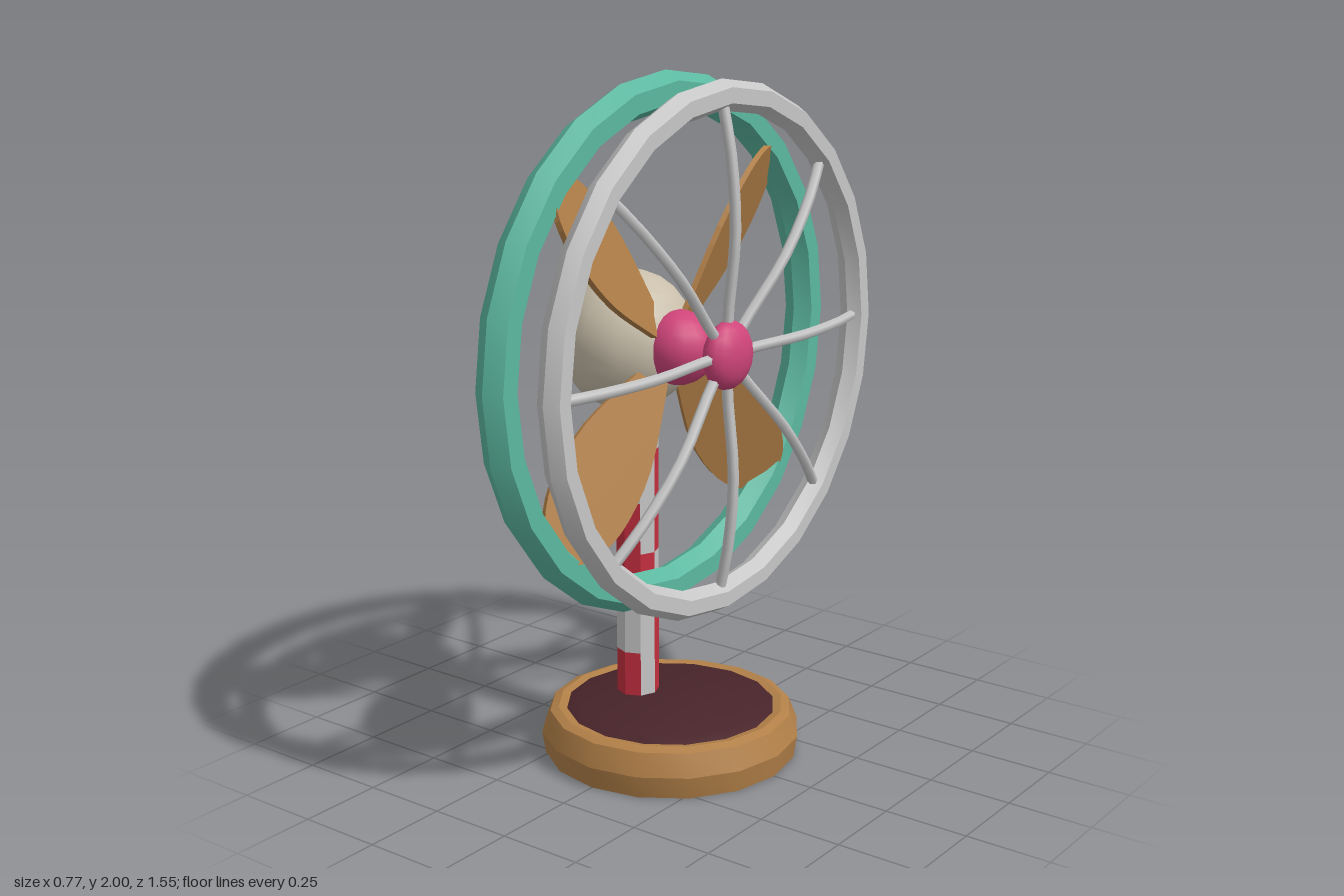
import * as THREE from 'three';
import { mergeGeometries, toCreasedNormals } from 'three/addons/utils/BufferGeometryUtils.js';

const mat = (name, color, side = THREE.FrontSide) => {
  const m = new THREE.MeshStandardMaterial({ color, side });
  m.name = name;
  return m;
};

export function createModel() {
  const teal = mat('teal', 0x5cb8a0);
  const grey = mat('light grey', 0xc6c6c6);
  const wood = mat('wood', 0xb28048);
  const dark = mat('dark maroon', 0x48242a);
  const pink = mat('pink', 0xd0457a);
  const red = mat('red', 0xc62f3f);
  const cream = mat('cream', 0xc9bfab);

  const model = new THREE.Group();
  model.name = 'deskFan';
  const add = (parent, name, geometry, material, x = 0, y = 0, z = 0) => {
    const mesh = new THREE.Mesh(geometry, material);
    mesh.name = name;
    mesh.position.set(x, y, z);
    parent.add(mesh);
    return mesh;
  };
  const lathe = (points, segments) => toCreasedNormals(
    new THREE.LatheGeometry(points.map(p => new THREE.Vector2(...p)), segments), 0.5);

  // Round base with a recessed dark top
  add(model, 'base', lathe([[0, 0], [0.375, 0], [0.385, 0.065], [0.36, 0.13], [0.335, 0.14], [0.31, 0.135]], 16), wood);
  add(model, 'baseTop', lathe([[0.312, 0.134], [0.28, 0.148], [0, 0.152]], 16), dark);

  // Eight-sided pole with stepped spiral stripes, repeating every three rows
  const pattern = ['RRRGRGGR', 'GGGGRRRG', 'GRRRGGGG'];
  const rowHeight = 0.155;
  const strips = { R: [], G: [] };
  for (let row = 0; row < 6; row++) {
    for (let face = 0; face < 8; face++) {
      const start = -Math.PI / 2 + face * Math.PI / 4;
      const g = new THREE.CylinderGeometry(0.063, 0.063, rowHeight, 1, 1, true, start, Math.PI / 4).toNonIndexed();
      g.computeVertexNormals();
      g.translate(0, 0.13 + (row + 0.5) * rowHeight, 0);
      strips[pattern[row % 3][face]].push(g);
    }
  }
  add(model, 'poleRedStripes', mergeGeometries(strips.R), red, -0.122);
  add(model, 'poleGreyStripes', mergeGeometries(strips.G), grey, -0.122);

  // Fan head, turning about the x axis
  const head = new THREE.Group();
  head.name = 'fanHead';
  head.position.y = 1.225;
  model.add(head);
  add(head, 'motorHousing', new THREE.SphereGeometry(0.205, 12, 12), cream, -0.155);
  add(head, 'hub', new THREE.SphereGeometry(0.108, 16, 12), pink, 0.03);
  add(head, 'grilleCap', new THREE.SphereGeometry(0.098, 16, 10).scale(0.55, 1, 1), pink, 0.2);

  // Two hoops with hexagonal sections
  const hoop = (radius, tube) => toCreasedNormals(
    new THREE.TorusGeometry(radius, tube, 6, 24).rotateY(Math.PI / 2), 0.6);
  add(head, 'rearRing', hoop(0.72, 0.055), teal, -0.018);
  add(head, 'frontRing', hoop(0.717, 0.043), grey, 0.172);

  // Four pitched leaf blades
  const leaf = new THREE.Shape();
  leaf.moveTo(-0.02, 0.04);
  leaf.splineThru([[-0.065, 0.16], [-0.125, 0.36], [-0.13, 0.54], [-0.09, 0.66], [-0.035, 0.712]]
    .map(p => new THREE.Vector2(...p)));
  leaf.lineTo(0.035, 0.712);
  leaf.splineThru([[0.09, 0.66], [0.13, 0.54], [0.125, 0.36], [0.065, 0.16], [0.02, 0.04]]
    .map(p => new THREE.Vector2(...p)));
  const blade = new THREE.ExtrudeGeometry(leaf, { depth: 0.016, bevelEnabled: false, curveSegments: 3 });
  blade.translate(0, 0, -0.008).rotateY(Math.PI / 2);
  blade.rotateY(0.42);
  for (let i = 0; i < 4; i++) {
    add(head, 'blade', blade, wood).rotation.x = Math.PI / 4 + i * Math.PI / 2;
  }

  // Eight bowed grille spokes
  const spokePath = new THREE.CatmullRomCurve3(
    [[0.195, 0], [0.2, 0.12], [0.222, 0.35], [0.205, 0.56], [0.175, 0.7]]
      .map(([x, r]) => new THREE.Vector3(x, r, 0)));
  const spoke = new THREE.TubeGeometry(spokePath, 10, 0.016, 6);
  for (let i = 0; i < 8; i++) {
    add(head, 'spoke', spoke, grey).rotation.x = i * Math.PI / 4;
  }
  return model;
}
